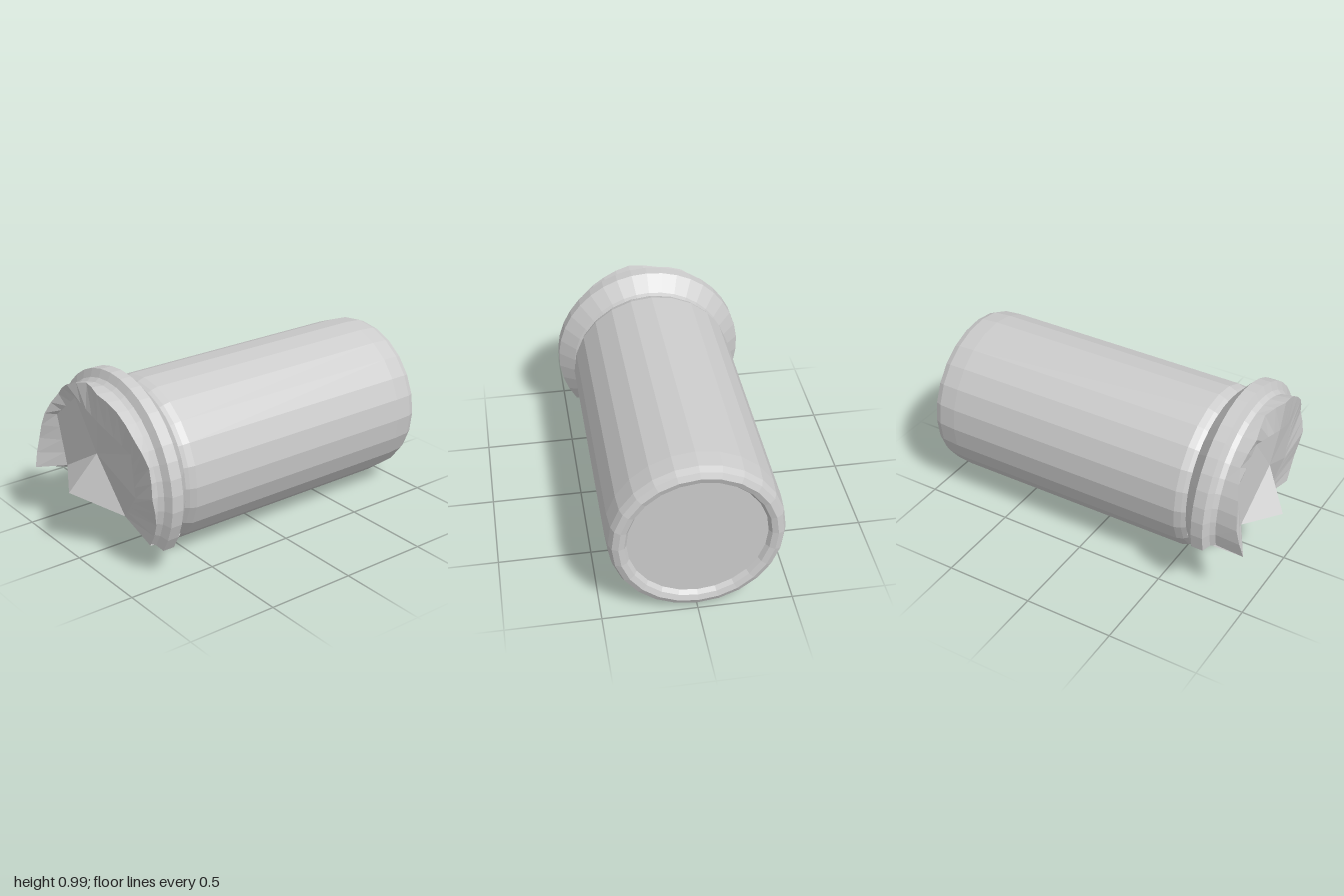
import * as THREE from 'three';

const CY = 0.459;                       // height of the cylinder axis
const rad = THREE.MathUtils.degToRad;
const material = new THREE.MeshStandardMaterial({ color: 0xcccccc, flatShading: true, side: THREE.DoubleSide });

// Point at an angle around the axis
const polar = (r, deg, z) => [r * Math.cos(rad(deg)), CY + r * Math.sin(rad(deg)), z];

// Spread n + 1 samples evenly over a polyline's segments
function resample(points, n) {
  return Array.from({ length: n + 1 }, (_, i) => {
    const t = (i / n) * (points.length - 1);
    const k = Math.min(Math.floor(t), points.length - 2);
    return points[k].map((v, a) => v + (points[k + 1][a] - v) * (t - k));
  });
}

// Skin between rows of equal length
function loft(name, rows) {
  const cols = rows[0].length, index = [];
  for (let i = 0; i < rows.length - 1; i++) {
    for (let j = 0; j < cols - 1; j++) {
      const a = i * cols + j, b = a + 1, c = a + cols, d = c + 1;
      index.push(a, b, c, b, d, c);
    }
  }
  const geometry = new THREE.BufferGeometry();
  geometry.setAttribute('position', new THREE.Float32BufferAttribute(rows.flat(2), 3));
  geometry.setIndex(index);
  const flat = geometry.toNonIndexed();
  flat.computeVertexNormals();
  const mesh = new THREE.Mesh(flat, material);
  mesh.name = name;
  return mesh;
}

export function createModel() {
  const group = new THREE.Group();
  group.name = 'brokenCylinder';

  // Body: recessed back disc, rounded back rim, long barrel, front shoulder
  const SIDES = 24;
  const bodyProfile = [
    [0, -0.965], [0.36, -0.965], [0.375, -0.99], [0.405, -1], [0.436, -0.985],
    [0.451, -0.95], [0.459, -0.85], [0.459, 0.56], [0.447, 0.595], [0.43, 0.625],
  ];
  const bodyRows = bodyProfile.map(([r, z]) => Array.from({ length: SIDES + 1 }, (_, i) => {
    const deg = (i * 360) / SIDES;
    const dip = z > 0 ? 0.025 * Math.max(0, -Math.sin(rad(deg))) : 0;
    return polar(r, deg, z - dip);
  }));
  group.add(loft('body', bodyRows));

  // Collar and jagged lip, covering the upper part of the front end
  const START = -34, END = 194, STEPS = 24;
  const jag = resample([0.78, 0.82, 0.85, 0.84, 0.87, 0.88, 0.9, 0.86, 0.89, 0.87, 0.91, 0.93, 0.97].map(v => [v]), STEPS);
  const collarProfile = [[0.42, 0.61], [0.45, 0.625], [0.535, 0.7], [0.535, 0.765], [0.492, 0.785], [0.475, 0.81]];
  const arcDeg = i => START + ((END - START) * i) / STEPS;
  const collarRows = collarProfile.map(([r, z]) => jag.map((_, i) => polar(r, arcDeg(i), z)));
  const rim = jag.map(([z], i) => polar(0.484, arcDeg(i), Math.max(z, 0.815)));
  collarRows.push(rim);
  group.add(loft('collar', collarRows));

  // Broken ends of the collar
  for (const [name, i] of [['rightBreak', STEPS], ['leftBreak', 0]]) {
    const edge = collarRows.map(row => row[i]);
    const hub = edge.map(() => polar(0.4, arcDeg(i), 0.75));
    group.add(loft(name, i ? [edge, hub] : [hub, edge]));
  }

  // Fractured front face: rim to a ring of crags, then to the middle
  const crags = [
    [0.15, 0.245, 0.8], [0.3, 0.42, 0.83], [0.3, 0.67, 0.85], [0.06, 0.775, 0.89],
    [-0.18, 0.825, 0.87], [-0.38, 0.66, 0.87], [-0.3, 0.39, 0.87],
  ];
  const tip = [-0.07, 0.355, 1];
  group.add(loft('fractureRim', [rim, resample(crags, STEPS)]));
  const ring = [...crags, tip, crags[0]];
  group.add(loft('fractureFace', [ring, ring.map(() => [0.01, 0.575, 0.87])]));

  // Overhanging underside, running from the body's lower edge to the fracture
  const N = 10;
  const lowerEdge = bodyRows.at(-1).slice(13, 23);
  const lowerRow = [[-0.42, 0.3, 0.62], [-0.3, 0.18, 0.61], [-0.14, 0.07, 0.6], [0.08, 0.09, 0.61], [0.26, 0.11, 0.61], [0.39, 0.19, 0.62]];
  const upperRow = [[-0.45, 0.32, 0.66], [-0.36, 0.29, 0.66], [-0.12, 0.25, 0.68], [0.13, 0.235, 0.67], [0.3, 0.19, 0.66], [0.42, 0.18, 0.66]];
  const cutEdge = [rim[STEPS], crags[6], tip, crags[0], [0.3, 0.215, 0.79], rim[0]];
  group.add(loft('underside', [lowerEdge, lowerRow, upperRow, cutEdge].map(row => resample(row, N))));

  return group;
}
